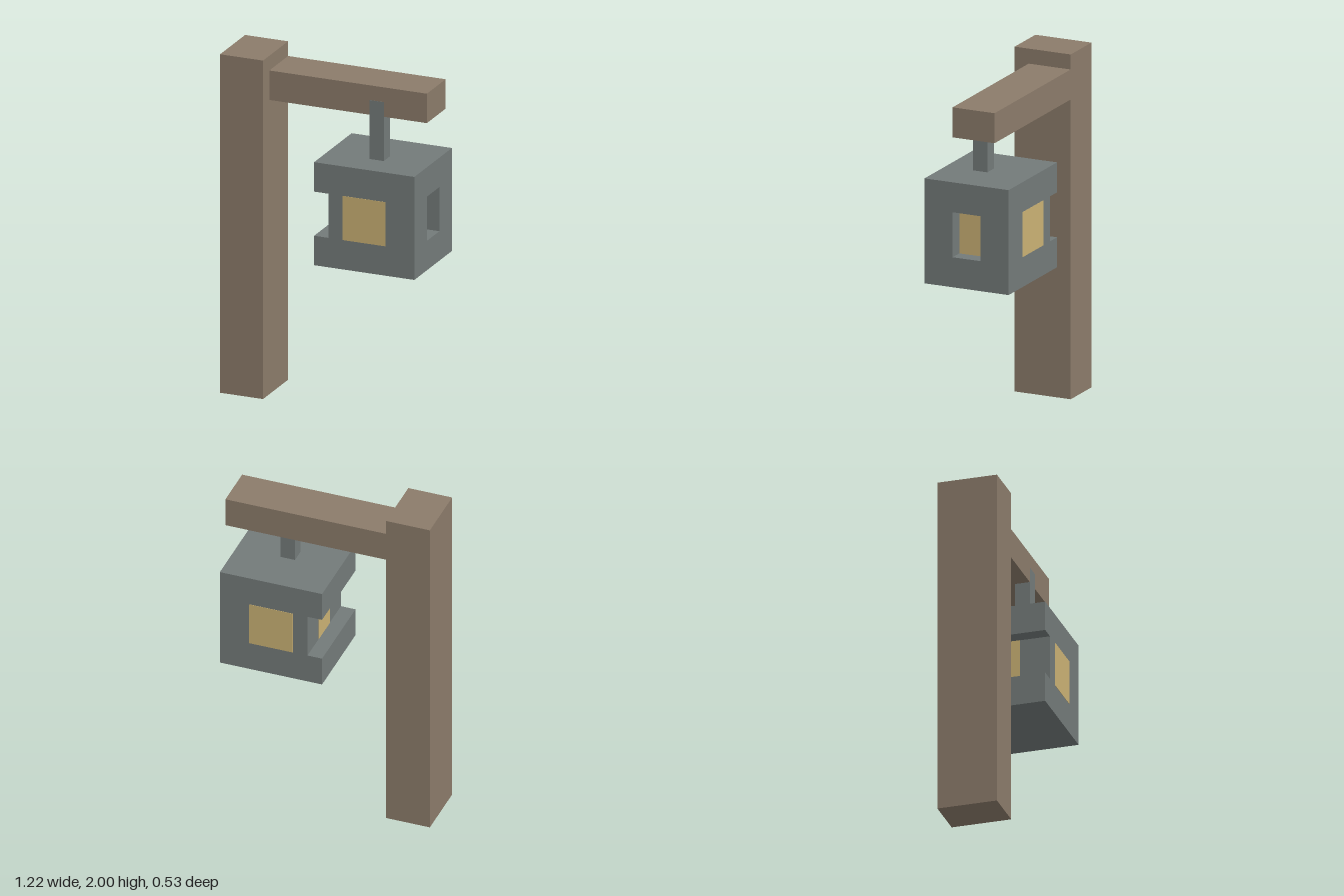
import * as THREE from 'three';

const U = 2 / 23; // block unit: the post is 23 units tall

export function createModel() {
  const mat = (name, color) => {
    const m = new THREE.MeshStandardMaterial({ color });
    m.name = name;
    return m;
  };
  const wood = mat('wood', 0x8b7b6a);
  const iron = mat('iron', 0x737a79);
  const glow = mat('glow', 0xcab174);

  const group = new THREE.Group();

  // Box given by its min and max corners in block units
  const block = (name, material, [x0, y0, z0], [x1, y1, z1], parent) => {
    const geo = new THREE.BoxGeometry((x1 - x0) * U, (y1 - y0) * U, (z1 - z0) * U);
    const mesh = new THREE.Mesh(geo, material);
    mesh.position.set((x0 + x1) / 2 * U, (y0 + y1) / 2 * U, (z0 + z1) / 2 * U);
    mesh.name = name;
    parent.add(mesh);
  };

  // Wooden frame
  block('post', wood, [-7, 0, -2], [-4, 23, 2], group);
  block('beam', wood, [-4, 20, -2], [7, 22, 1], group);

  // Hanger, let into the front of the beam
  block('hanger', iron, [3, 17, 0], [4, 21, 1.02], group);

  // Lantern housing: slabs, core and the cheeks beside the right recess
  const lantern = new THREE.Group();
  lantern.name = 'lantern';
  group.add(lantern);
  block('lanternTop', iron, [0, 15, -3], [7, 17, 3], lantern);
  block('lanternBottom', iron, [0, 10, -3], [7, 12, 3], lantern);
  block('lanternCore', iron, [1, 12, -3], [6, 15, 3], lantern);
  block('cheekFront', iron, [6, 12, 1], [7, 15, 3], lantern);
  block('cheekBack', iron, [6, 12, -3], [7, 15, -1], lantern);

  // Glowing panes, as thin plates
  const t = 0.02;
  block('paneFront', glow, [2, 12, 3 - t], [5, 15, 3 + t], lantern);
  block('paneBack', glow, [2, 12, -3 - t], [5, 15, -3 + t], lantern);
  block('paneLeft', glow, [6 - t, 12, -1], [6 + t, 15, 1], lantern);
  block('paneRight', glow, [1 - t, 12, -1], [1 + t, 15, 1], lantern);

  return group;
}
